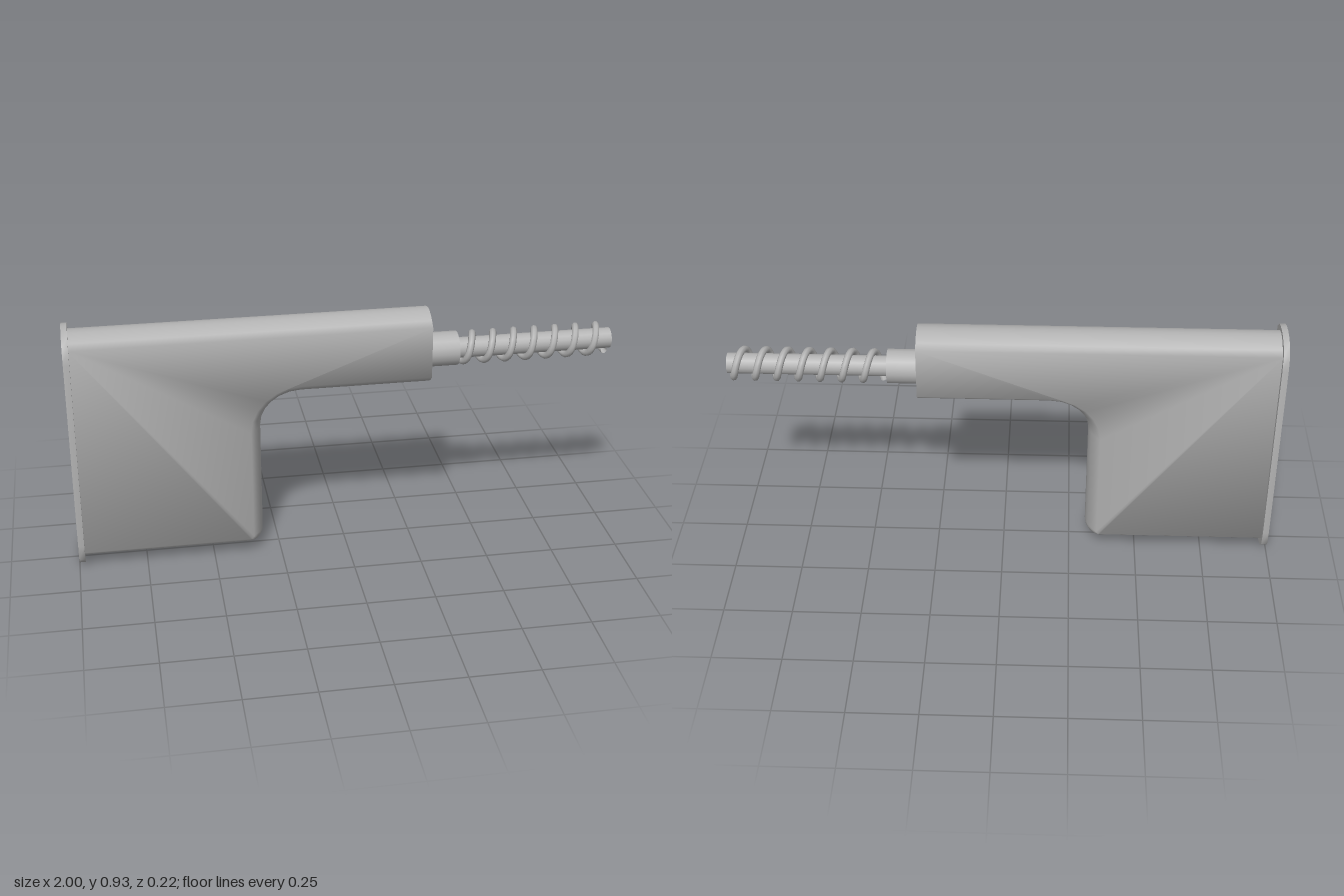
import * as THREE from 'three';
import { toCreasedNormals } from 'three/addons/utils/BufferGeometryUtils.js';

const AXIS_Y = 0.745; // height of the shaft centre line

// Body outline (counter-clockwise), pulled in by d along its rounded edges
function bodyOutline(d) {
  const pts = [[-0.98, 0.02 + d]];
  const steps = 6;
  for (let i = 0; i <= steps; i++) { // lower grip corner
    const a = (i / steps - 1) * Math.PI / 2, r = 0.055 - d;
    pts.push([-0.365 + r * Math.cos(a), 0.075 + r * Math.sin(a)]);
  }
  for (let i = 0; i <= steps; i++) { // fillet between grip and barrel
    const a = i / steps * Math.PI / 2;
    pts.push([-0.165 - (0.145 + d) * Math.cos(a), 0.5 + (0.13 + d) * Math.sin(a)]);
  }
  pts.push([0.31, 0.63 + d], [0.31, 0.91 - d], [-0.98, 0.91 - d]);
  return pts;
}

// Outline layers stacked through the thickness, closed by two flat sides
function bodyGeometry() {
  const half = 0.09, layers = 8, pos = [], index = [];
  const n = bodyOutline(0).length;
  for (let k = 0; k <= layers; k++) {
    const t = 2 * k / layers - 1;
    for (const [x, y] of bodyOutline(0.043 * t * t)) pos.push(x, y, half * t);
  }
  for (let k = 0; k < layers; k++) {
    for (let i = 0; i < n; i++) {
      const j = (i + 1) % n, a = k * n + i, b = k * n + j;
      index.push(a, b, b + n, a, b + n, a + n);
    }
  }
  const side = bodyOutline(0.043).map(([x, y]) => new THREE.Vector2(x, y));
  const top = layers * n;
  for (const [a, b, c] of THREE.ShapeUtils.triangulateShape(side, [])) {
    index.push(a + top, b + top, c + top, c, b, a);
  }
  const geo = new THREE.BufferGeometry();
  geo.setAttribute('position', new THREE.Float32BufferAttribute(pos, 3));
  geo.setIndex(index);
  return toCreasedNormals(geo, 1.0);
}

// Rounded end plate, mirrored from one quarter
function plateGeometry() {
  const quarter = [[0.111, 0.36], [0.102, 0.42], [0.07, 0.449], [0.032, 0.46], [0, 0.4625]];
  const upper = [...quarter, ...quarter.slice(0, -1).reverse().map(([x, y]) => [-x, y])];
  const all = [...upper, ...upper.map(([x, y]) => [-x, -y])];
  const shape = new THREE.Shape(all.map(([x, y]) => new THREE.Vector2(x, y + 0.4625)));
  const geo = new THREE.ExtrudeGeometry(shape, { depth: 0.022, bevelEnabled: false });
  geo.rotateY(Math.PI / 2).translate(-1, 0, 0);
  return toCreasedNormals(geo, 0.7);
}

function rodGeometry(radius, x0, x1) {
  const geo = new THREE.CylinderGeometry(radius, radius, x1 - x0, 16);
  return geo.rotateZ(-Math.PI / 2).translate((x0 + x1) / 2, AXIS_Y, 0);
}

// Spiral around the shaft
class Spiral extends THREE.Curve {
  getPoint(t, target = new THREE.Vector3()) {
    const a = Math.PI + t * 7 * 2 * Math.PI, r = 0.051;
    return target.set(0.437 + 0.548 * t, AXIS_Y + r * Math.cos(a), -r * Math.sin(a));
  }
}

export function createModel() {
  const group = new THREE.Group();
  const grey = new THREE.MeshStandardMaterial({ color: 0xb3b3b3, side: THREE.DoubleSide });
  grey.name = 'grey';
  const add = (name, geo) => {
    const mesh = new THREE.Mesh(geo, grey);
    mesh.name = name;
    group.add(mesh);
  };
  add('body', bodyGeometry());
  add('endPlate', plateGeometry());
  add('collar', rodGeometry(0.063, 0.3, 0.42));
  add('shaft', rodGeometry(0.038, 0.41, 1));
  add('spiralThread', new THREE.TubeGeometry(new Spiral(), 140, 0.013, 8, false));
  return group;
}
